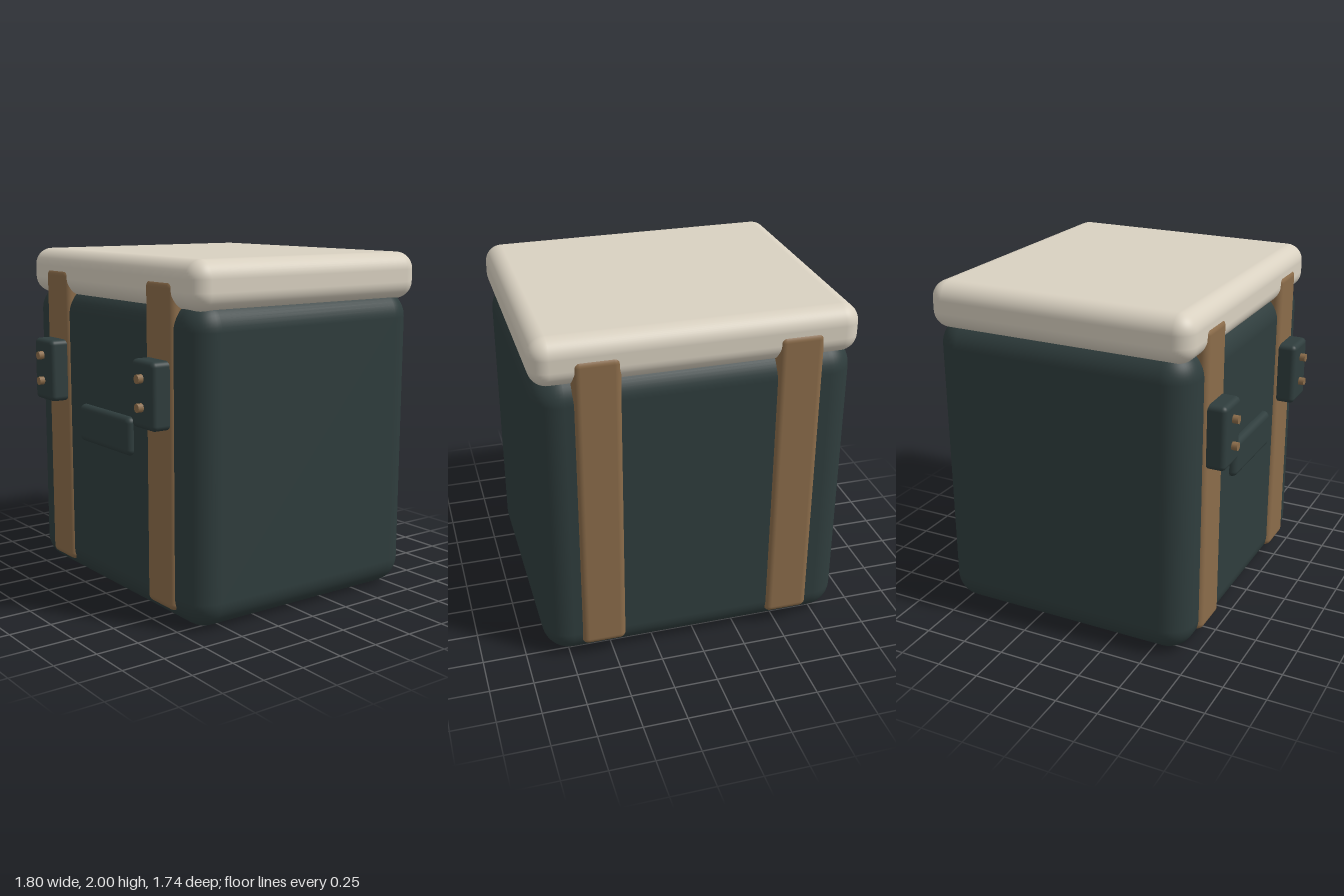
import * as THREE from 'three';
import { RoundedBoxGeometry } from 'three/addons/geometries/RoundedBoxGeometry.js';

function material(name, color) {
  const m = new THREE.MeshStandardMaterial({ color });
  m.name = name;
  return m;
}

export function createModel() {
  const green = material('dark green', 0x2f3d3d);
  const cream = material('cream', 0xd9d1c1);
  const leather = material('tan leather', 0x8b6c4a);
  const model = new THREE.Group();
  model.name = 'coolBox';

  // Rounded box given by its minimum and maximum on each axis
  function block(name, mat, [x0, x1], [y0, y1], [z0, z1], radius, segments = 5) {
    const geometry = new RoundedBoxGeometry(x1 - x0, y1 - y0, z1 - z0, segments, radius);
    const mesh = new THREE.Mesh(geometry, mat);
    mesh.position.set((x0 + x1) / 2, (y0 + y1) / 2, (z0 + z1) / 2);
    mesh.name = name;
    model.add(mesh);
  }

  // Case and lid
  block('body', green, [-0.89, 0.89], [0, 1.785], [-0.85, 0.715], 0.16, 6);
  block('lid', cream, [-0.9, 0.9], [1.73, 2], [-0.86, 0.725], 0.1, 6);

  // Name plate on the front
  block('plate', green, [-0.278, 0.278], [0.882, 1.104], [0.67, 0.755], 0.035);

  for (const side of [-1, 1]) {
    const x = side * 0.555;
    const prefix = side > 0 ? 'left' : 'right';

    // Front and back straps
    block(prefix + 'FrontStrap', leather, [x - 0.13, x + 0.13], [0.085, 1.885], [0.635, 0.735], 0.04);
    block(prefix + 'BackStrap', leather, [x - 0.13, x + 0.13], [0.085, 1.885], [-0.87, -0.77], 0.04);

    // Buckle with two rivets
    block(prefix + 'Buckle', green, [x - 0.11, x + 0.11], [1.095, 1.467], [0.7, 0.837], 0.03);
    for (const y of [1.215, 1.37]) {
      const rivet = new THREE.Mesh(new THREE.CylinderGeometry(0.025, 0.025, 0.06, 8), leather);
      rivet.rotation.x = Math.PI / 2;
      rivet.position.set(x, y, 0.84);
      rivet.name = prefix + 'Rivet';
      model.add(rivet);
    }
  }
  return model;
}
